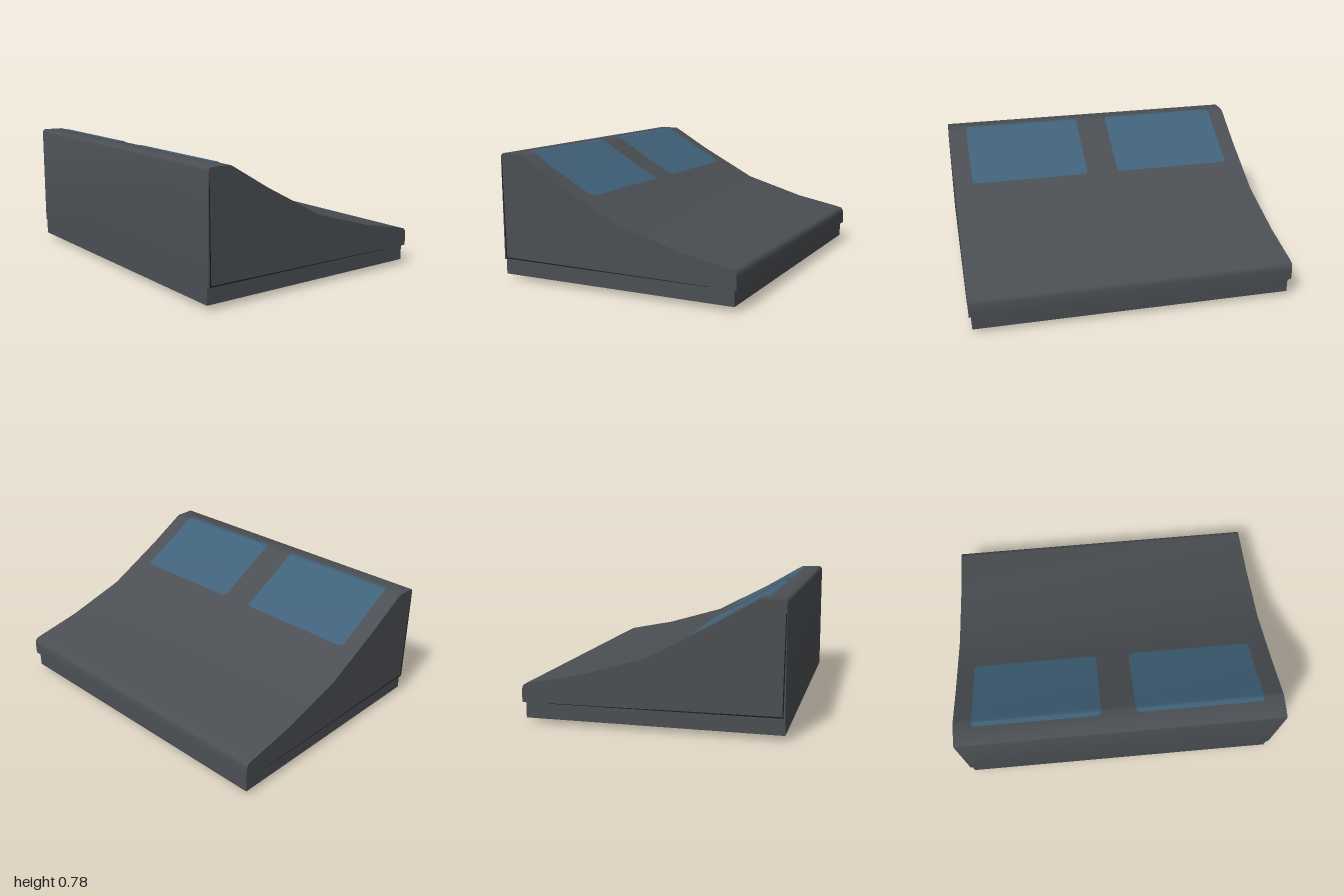
import * as THREE from 'three';
import { toCreasedNormals } from 'three/addons/utils/BufferGeometryUtils.js';

const mat = (name, color) => {
  const m = new THREE.MeshStandardMaterial({ color });
  m.name = name;
  return m;
};

// Upper contour of the case, front to back, as [z, y]
const top = [
  [0.767, 0.755], [0.762, 0.768], [0.75, 0.775], [0.625, 0.773], [0.605, 0.763],
  [0.37, 0.625], [0.18, 0.525], [-0.02, 0.42], [-0.42, 0.302], [-0.73, 0.24],
  [-0.75, 0.234], [-0.762, 0.221], [-0.767, 0.2],
];

// Height of the contour at a given z
function topY(z) {
  for (let i = 0; i < top.length - 1; i++) {
    const [z0, y0] = top[i], [z1, y1] = top[i + 1];
    if (z <= z0 && z >= z1) return y0 + (y1 - y0) * (z0 - z) / (z0 - z1);
  }
  return 0;
}

// Extrude a [z, y] side profile across x
function sideExtrude(points, x0, x1) {
  const shape = new THREE.Shape(points.map(([z, y]) => new THREE.Vector2(-z, y)));
  const g = new THREE.ExtrudeGeometry(shape, { depth: x1 - x0, bevelEnabled: false });
  g.rotateY(Math.PI / 2);
  g.translate(x0, 0, 0);
  return toCreasedNormals(g, 0.7);
}

// Rounded panel that follows the sloping top
function panelGeometry(cx, halfWidth, z0, z1, radius) {
  const zs = [];
  for (let i = 0; i <= 6; i++) {
    const d = radius * (1 - Math.cos((i / 6) * Math.PI / 2));
    zs.push(z0 + d, z1 - d);
  }
  top.forEach(([z]) => { if (z > z0 + radius && z < z1 - radius) zs.push(z); });
  // contour bends that fall inside the rounded ends
  top.forEach(([z]) => { if (z > z0 && z < z1 && !zs.includes(z)) zs.push(z); });
  zs.sort((a, b) => a - b);
  const pos = [], index = [];
  zs.forEach((z, i) => {
    const e = Math.max(0, radius - Math.min(z - z0, z1 - z));
    const w = halfWidth - radius + Math.sqrt(Math.max(0, radius * radius - e * e));
    const y = topY(z) + 0.004;
    pos.push(cx - w, y, z, cx + w, y, z);
    if (i) {
      const a = 2 * (i - 1);
      index.push(a, a + 2, a + 1, a + 1, a + 2, a + 3);
    }
  });
  const g = new THREE.BufferGeometry();
  g.setAttribute('position', new THREE.Float32BufferAttribute(pos, 3));
  g.setIndex(index);
  g.computeVertexNormals();
  return g;
}

export function createModel() {
  const model = new THREE.Group();
  model.name = 'deskConsole';
  const grey = mat('caseGrey', 0x4b4f53);
  const blue = mat('panelBlue', 0x40627a);
  const dark = mat('seamDark', 0x1c1d20);
  const rubber = mat('footGrey', 0x3c3d40);
  const add = (name, geometry, material, parent = model) => {
    const mesh = new THREE.Mesh(geometry, material);
    mesh.name = name;
    parent.add(mesh);
    return mesh;
  };

  // Upper case with sloping top
  add('upperCase', sideExtrude([[0.767, 0.125], ...top, [-0.767, 0.125]], -1, 1), grey);

  // Slightly narrower base tray, flush at the front
  const base = add('baseTray', new THREE.BoxGeometry(1.97, 0.095, 1.517), grey);
  base.position.set(0, 0.0775, 0.0085);

  // Two display panels on the slope
  for (const cx of [-0.5, 0.49]) {
    const p = add(cx < 0 ? 'rightPanel' : 'leftPanel', panelGeometry(cx, 0.39, 0.2, 0.655, 0.025), blue);
    p.material.side = THREE.DoubleSide;
  }

  // Tapering seams around the side cheeks
  const upright = [[0.765, 0.7], [0.757, 0.128], [0.75, 0.128], [0.76, 0.7]];
  const lower = [[0.755, 0.138], [0.755, 0.13], [-0.6, 0.126], [-0.6, 0.128]];
  for (const s of [-1, 1]) {
    const x0 = s > 0 ? 0.997 : -1.001, x1 = x0 + 0.004;
    add('uprightSeam', sideExtrude(upright, x0, x1), dark);
    add('lowerSeam', sideExtrude(lower, x0, x1), dark);
  }

  // Four tapered feet
  const feet = new THREE.Group();
  feet.name = 'feet';
  model.add(feet);
  const footGeometry = new THREE.CylinderGeometry(0.03, 0.02, 0.032, 20);
  for (const x of [-0.87, 0.87]) for (const z of [-0.665, 0.665]) {
    add('foot', footGeometry, rubber, feet).position.set(x, 0.016, z);
  }
  return model;
}
